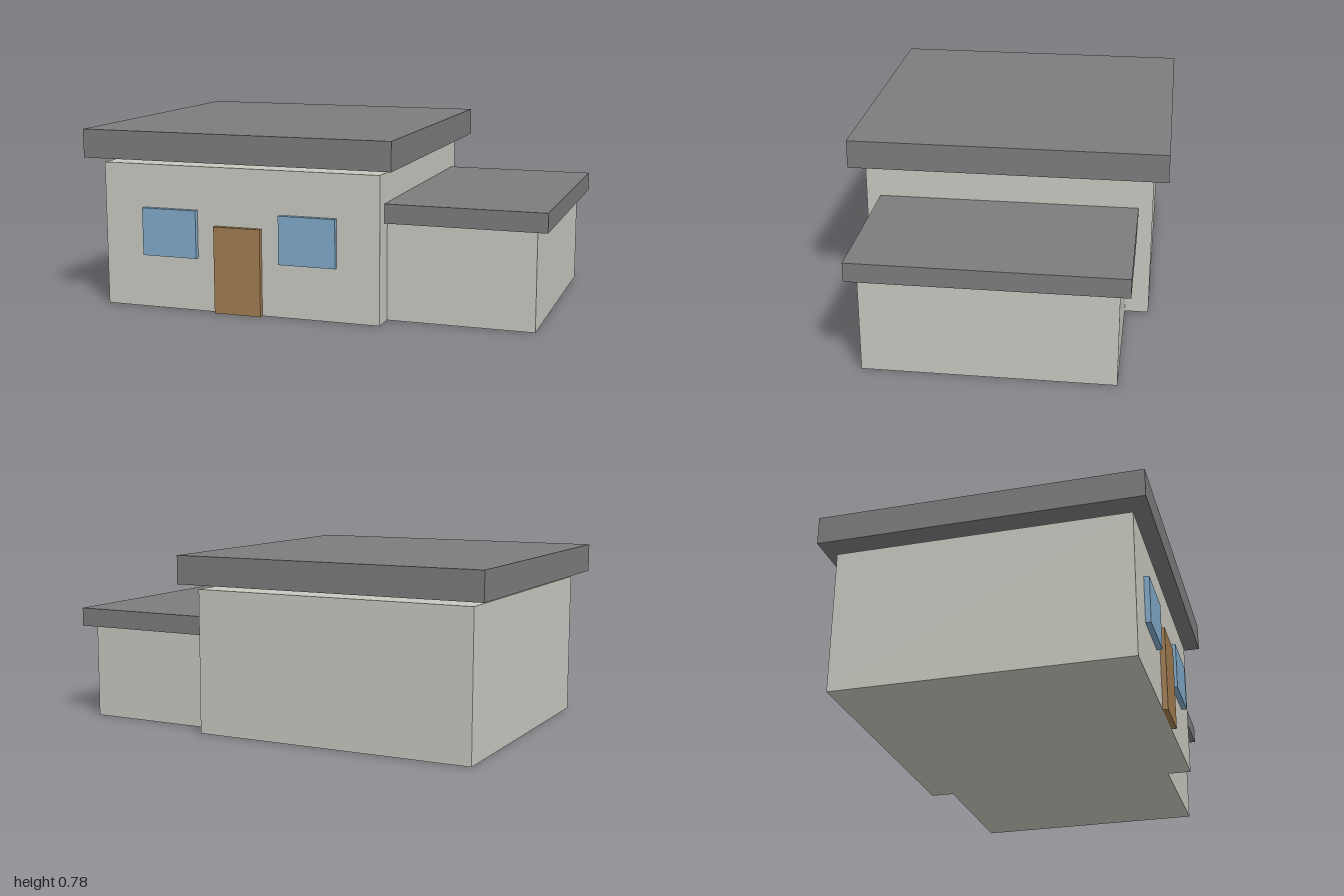
import * as THREE from 'three';

export function createModel() {
  const house = new THREE.Group();
  house.name = 'house';

  const material = (name, color) => {
    const m = new THREE.MeshStandardMaterial({ color });
    m.name = name;
    return m;
  };
  const wall = material('wall plaster', 0xc8c8c0);
  const roof = material('roof grey', 0x7c7c7c);
  const glass = material('window blue', 0x80a8c8);
  const wood = material('door brown', 0xa07c50);

  // Box given by its extents along x, y and z
  const box = (name, mat, [x0, x1], [y0, y1], [z0, z1]) => {
    const mesh = new THREE.Mesh(new THREE.BoxGeometry(x1 - x0, y1 - y0, z1 - z0), mat);
    mesh.position.set((x0 + x1) / 2, (y0 + y1) / 2, (z0 + z1) / 2);
    mesh.name = name;
    house.add(mesh);
  };

  // Main block with its slab roof, set slightly above the walls
  box('mainWalls', wall, [-0.935, 0.322], [0, 0.631], [-0.629, 0.629]);
  box('mainRoof', roof, [-1, 0.388], [0.656, 0.78], [-0.693, 0.693]);

  // Lower side wing, its roof running into the main wall
  box('wingWalls', wall, [0.322, 0.952], [0, 0.422], [-0.525, 0.525]);
  box('wingRoof', roof, [0.28, 1], [0.422, 0.504], [-0.568, 0.568]);

  // Door and windows stand proud of the front wall
  const proud = [0.629, 0.652];
  box('door', wood, [-0.413, -0.201], [0, 0.378], proud);
  for (const [name, x] of [['rightWindow', -0.622], ['leftWindow', 0.009]]) {
    box(name, glass, [x - 0.126, x + 0.126], [0.233, 0.442], proud);
  }

  return house;
}
